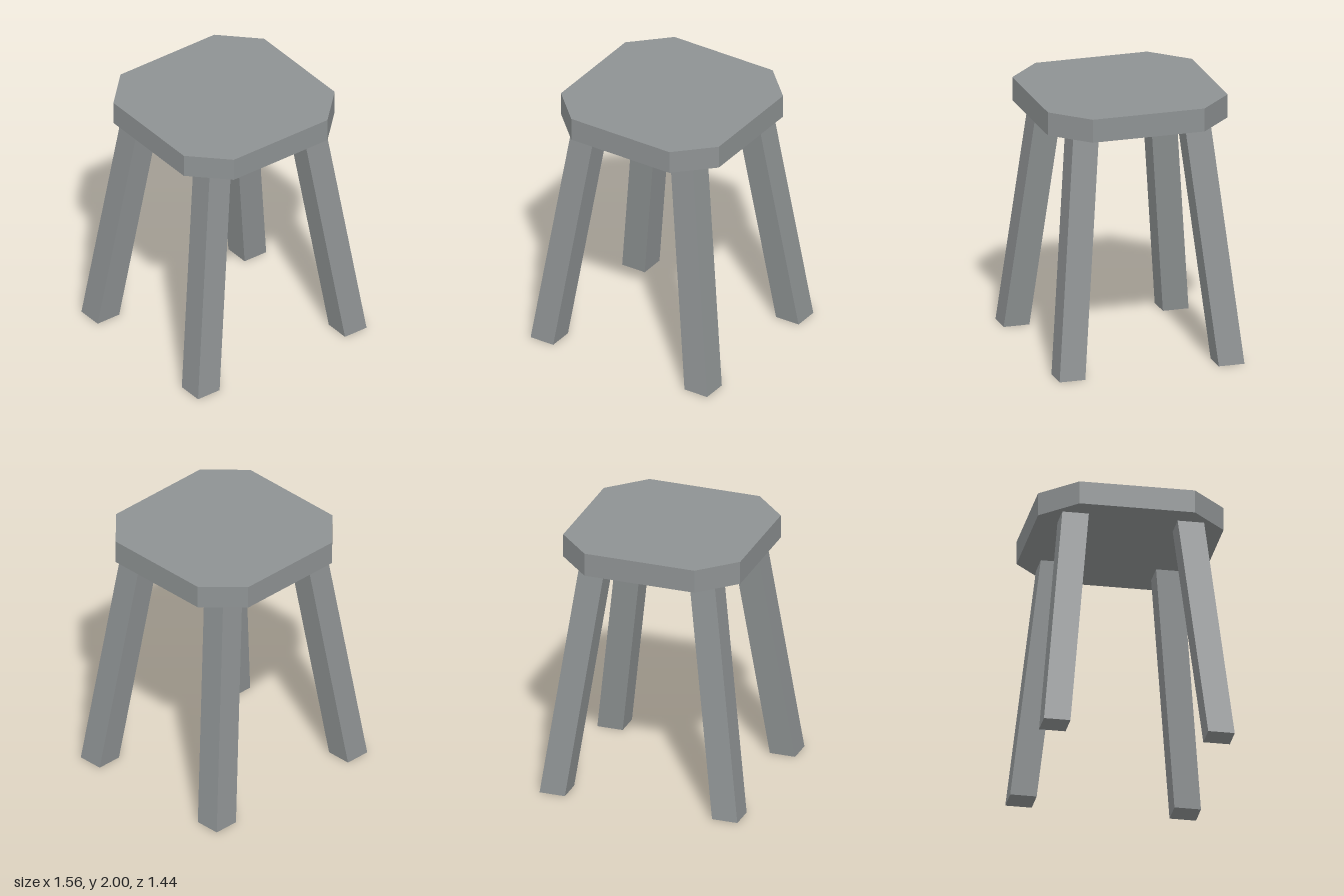
import * as THREE from 'three';

export function createModel() {
  const model = new THREE.Group();
  model.name = 'stool';
  const grey = new THREE.MeshStandardMaterial({ color: 0x8e9293 });
  grey.name = 'grey';

  // Seat: square slab with cut corners
  const seatBottom = 1.82, half = 0.7, cut = 0.435;
  const outline = new THREE.Shape([
    [half, -cut], [half, cut], [cut, half], [-cut, half],
    [-half, cut], [-half, -cut], [-cut, -half], [cut, -half],
  ].map(([x, y]) => new THREE.Vector2(x, y)));
  const seatGeometry = new THREE.ExtrudeGeometry(outline, { depth: 2 - seatBottom, bevelEnabled: false });
  seatGeometry.rotateX(-Math.PI / 2);
  const seat = new THREE.Mesh(seatGeometry, grey);
  seat.name = 'seat';
  seat.position.y = seatBottom;
  model.add(seat);

  // Legs: square posts sheared outwards towards the floor
  const top = 0.435, footX = 0.682, footZ = 0.62;
  function addLeg(name, sx, sz) {
    const geometry = new THREE.BoxGeometry(0.2, seatBottom, 0.2);
    geometry.translate(0, seatBottom / 2, 0);
    const p = geometry.attributes.position;
    for (let i = 0; i < p.count; i++) {
      const t = p.getY(i) / seatBottom;
      p.setX(i, p.getX(i) + sx * THREE.MathUtils.lerp(footX, top, t));
      p.setZ(i, p.getZ(i) + sz * THREE.MathUtils.lerp(footZ, top, t));
    }
    const flat = geometry.toNonIndexed();
    flat.computeVertexNormals();
    const leg = new THREE.Mesh(flat, grey);
    leg.name = name;
    model.add(leg);
  }
  for (const [side, sx] of [['Left', 1], ['Right', -1]]) {
    addLeg('front' + side + 'Leg', sx, 1);
    addLeg('back' + side + 'Leg', sx, -1);
  }
  return model;
}
